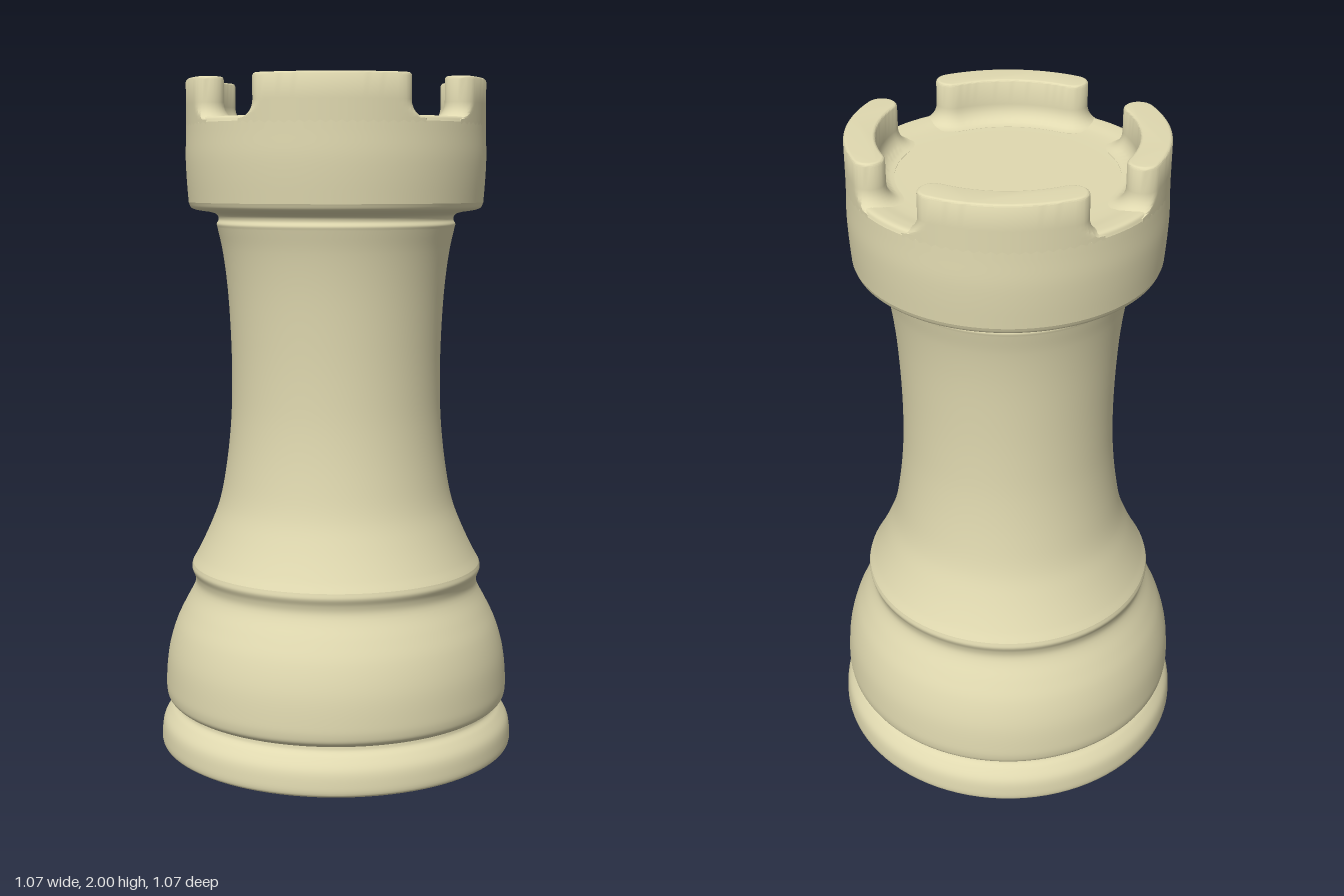
import * as THREE from 'three';
import { toCreasedNormals } from 'three/addons/utils/BufferGeometryUtils.js';

const material = new THREE.MeshStandardMaterial({ color: 0xe0d9b0 });
const RIM = 0.437;

// Smooth turned part from a few [radius, height] points
function turned(name, points, samples = 40) {
  const curve = new THREE.CatmullRomCurve3(points.map(([r, y]) => new THREE.Vector3(r, y, 0)), false, 'centripetal');
  const profile = curve.getPoints(samples).map((p) => new THREE.Vector2(Math.max(p.x, 0), p.y));
  const mesh = new THREE.Mesh(new THREE.LatheGeometry(profile, 96), material);
  mesh.name = name;
  return mesh;
}

// Plan outline of one battlement: an arc-shaped capsule grown by d, held inside the rim
function battlementOutline(d) {
  const rc = 0.394, half = 0.043 + d, cap = 12, arc = 28;
  const start = Math.asin(0.128 / rc), end = Math.PI / 2 - start;
  const pts = [];
  const add = (x, z) => {
    const k = Math.min(1, RIM / Math.hypot(x, z));
    pts.push(new THREE.Vector2(x * k, z * k));
  };
  const addCap = (a, from) => {
    for (let i = 1; i < cap; i++) {
      const b = from + (Math.PI * i) / cap;
      add(rc * Math.cos(a) + half * Math.cos(b), rc * Math.sin(a) + half * Math.sin(b));
    }
  };
  const addArc = (r, a0, a1) => {
    for (let i = 0; i <= arc; i++) {
      const a = a0 + ((a1 - a0) * i) / arc;
      add(r * Math.cos(a), r * Math.sin(a));
    }
  };
  addArc(rc + half, start, end);
  addCap(end, end);
  addArc(rc - half, end, start);
  addCap(start, start + Math.PI);
  return pts;
}

// Battlement lofted upward: flared fillet at the foot, small round at the top
function battlementGeometry() {
  const levels = [[0.045, 1.86]];
  for (let i = 0; i <= 7; i++) {
    const a = (i / 7) * Math.PI / 2;
    levels.push([0.045 * (1 - Math.sin(a)), 1.878 + 0.05 * (1 - Math.cos(a))]);
  }
  for (let i = 0; i <= 4; i++) {
    const a = (i / 4) * Math.PI / 2;
    levels.push([-0.009 * (1 - Math.cos(a)), 1.991 + 0.009 * Math.sin(a)]);
  }
  const rings = levels.map(([d]) => battlementOutline(d));
  const n = rings[0].length, pos = [], index = [];
  rings.forEach((ring, j) => ring.forEach((p) => pos.push(p.x, levels[j][1], p.y)));
  for (let j = 0; j < rings.length - 1; j++) {
    for (let i = 0; i < n; i++) {
      const a = j * n + i, b = j * n + ((i + 1) % n);
      index.push(a, a + n, b, b, a + n, b + n);
    }
  }
  const top = (rings.length - 1) * n;
  for (const [a, b, c] of THREE.ShapeUtils.triangulateShape(rings[rings.length - 1], [])) {
    index.push(top + a, top + c, top + b);
  }
  const geo = new THREE.BufferGeometry();
  geo.setAttribute('position', new THREE.Float32BufferAttribute(pos, 3));
  geo.setIndex(index);
  return toCreasedNormals(geo, 0.6);
}

export function createModel() {
  const group = new THREE.Group();
  group.name = 'chessRook';

  group.add(
    turned('underside', [[0, 0], [0.15, 0.005], [0.4, 0.01], [0.522, 0.014]], 8),
    turned('foot', [[0.522, 0.014], [0.532, 0.022], [0.533, 0.055], [0.526, 0.09],
      [0.505, 0.12], [0.49, 0.136], [0.487, 0.148]], 28),
    turned('bell', [[0.487, 0.148], [0.498, 0.152], [0.513, 0.165], [0.518, 0.185], [0.518, 0.22],
      [0.51, 0.3], [0.488, 0.38], [0.46, 0.44], [0.431, 0.495], [0.426, 0.515], [0.429, 0.535],
      [0.437, 0.556], [0.434, 0.572]], 60),
    turned('shaft', [[0.434, 0.572], [0.417, 0.602], [0.38, 0.68], [0.35, 0.76], [0.329, 0.87],
      [0.315, 1.0], [0.311, 1.12], [0.313, 1.25], [0.322, 1.4], [0.336, 1.51], [0.35, 1.575]], 50),
    turned('collar', [[0.35, 1.575], [0.352, 1.585], [0.346, 1.598], [0.35, 1.611], [0.368, 1.619],
      [0.41, 1.626], [0.426, 1.633], [0.433, 1.648]], 32),
    turned('crownWall', [[0.433, 1.648], [0.438, 1.72], [0.44, 1.78], [0.438, 1.84], [RIM, 1.872]], 16),
    turned('crownFloor', [[RIM, 1.872], [0.43, 1.885], [0.4, 1.886], [0.35, 1.879], [0.2, 1.877], [0, 1.877]], 24),
  );

  // Four battlements around the rim
  const geo = battlementGeometry();
  for (let i = 0; i < 4; i++) {
    const battlement = new THREE.Mesh(geo, material);
    battlement.name = `battlement${i + 1}`;
    battlement.rotation.y = (i * Math.PI) / 2;
    group.add(battlement);
  }
  return group;
}
